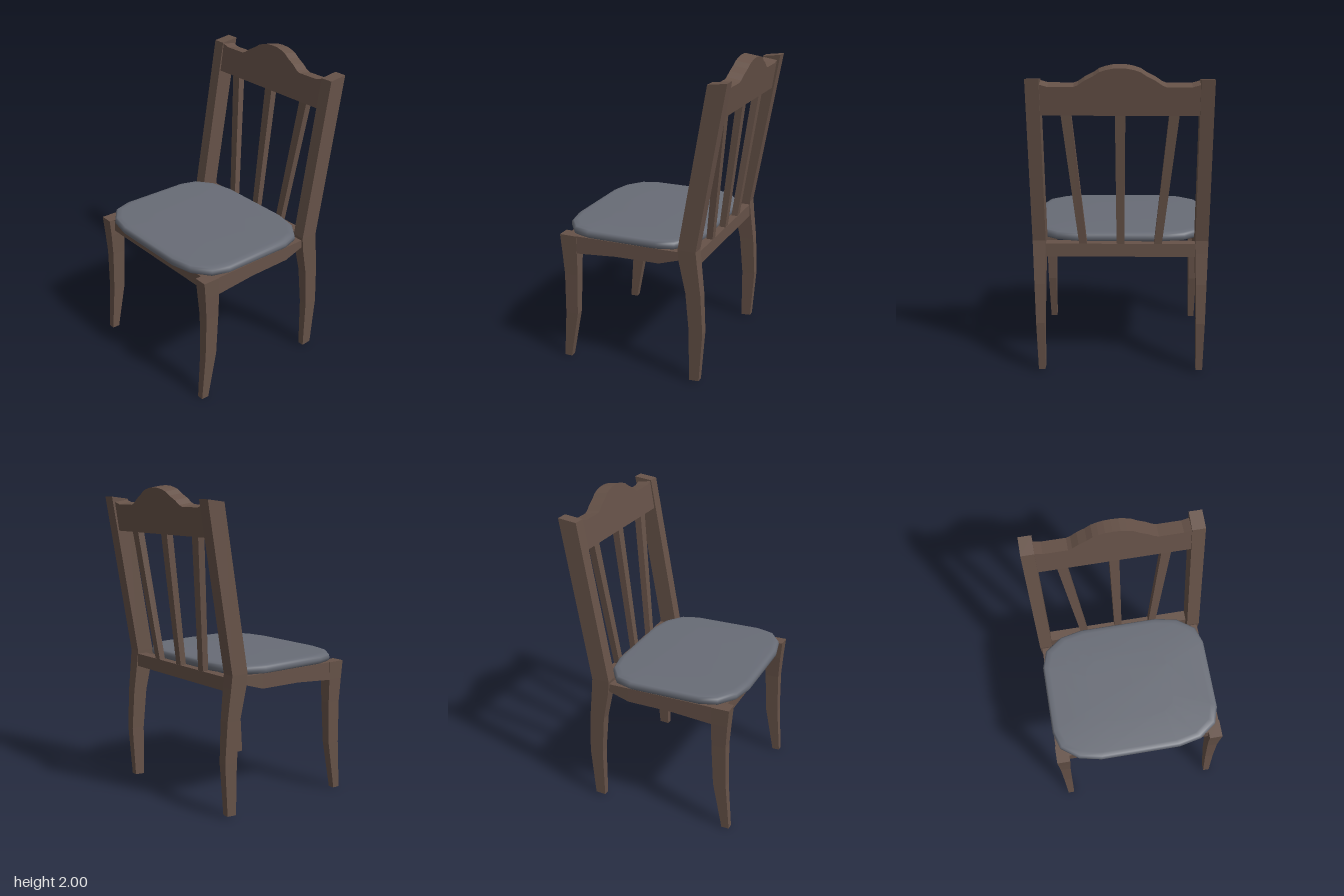
import * as THREE from 'three';

const wood = new THREE.MeshStandardMaterial({ color: 0x665248, flatShading: true });
const fabric = new THREE.MeshStandardMaterial({ color: 0x686c76 });

// Joins convex rings (counterclockwise seen from above, listed bottom to top) into a closed solid.
function loft(rings) {
  const n = rings[0].length, index = [];
  for (let r = 0; r < rings.length - 1; r++) {
    for (let j = 0; j < n; j++) {
      const a = r * n + j, b = r * n + (j + 1) % n;
      index.push(a, b, b + n, a, b + n, a + n);
    }
  }
  const top = (rings.length - 1) * n;
  for (let j = 1; j < n - 1; j++) {
    index.push(0, j + 1, j, top, top + j, top + j + 1);
  }
  const geo = new THREE.BufferGeometry();
  geo.setAttribute('position', new THREE.Float32BufferAttribute(rings.flat(2), 3));
  geo.setIndex(index);
  geo.computeVertexNormals();
  return geo;
}

// Rectangular ring; the back edge may sit at its own height.
function rect(x0, x1, zFront, zBack, y, yBack = y) {
  const [a, b] = x0 < x1 ? [x0, x1] : [x1, x0];
  return [[a, y, zFront], [b, y, zFront], [b, yBack, zBack], [a, yBack, zBack]];
}

export function createModel() {
  const chair = new THREE.Group();
  chair.name = 'chair';
  const add = (name, geo, mat = wood) => {
    const mesh = new THREE.Mesh(geo, mat);
    mesh.name = name;
    chair.add(mesh);
    return mesh;
  };

  // Sections: inner x, outer x, front z, back z, y, back y
  const frontLeg = [
    [0.488, 0.53, 0.55, 0.5, 0],
    [0.482, 0.537, 0.525, 0.44, 0.32],
    [0.475, 0.542, 0.52, 0.427, 0.6],
    [0.467, 0.547, 0.53, 0.425, 0.755],
    [0.465, 0.55, 0.54, 0.425, 0.87],
  ];
  const backPost = [
    [0.488, 0.53, -0.342, -0.408, 0.01, 0.015],
    [0.482, 0.537, -0.342, -0.432, 0.35],
    [0.475, 0.542, -0.32, -0.418, 0.61],
    [0.468, 0.547, -0.278, -0.395, 0.81],
    [0.467, 0.549, -0.27, -0.387, 0.89],
    [0.467, 0.549, -0.447, -0.566, 1.91, 1.925],
  ];
  // Side rail sections run back to front: z, bottom y, inner x, outer x
  const sideRail = [
    [-0.3, 0.825, 0.47, 0.535], [-0.14, 0.776, 0.47, 0.538],
    [0.15, 0.774, 0.47, 0.542], [0.44, 0.752, 0.47, 0.546],
  ];

  for (const [side, s] of [['left', 1], ['right', -1]]) {
    const mirror = ([xi, xo, ...rest]) => rect(s * xi, s * xo, ...rest);
    add(side + 'FrontLeg', loft(frontLeg.map(mirror)));
    add(side + 'BackPost', loft(backPost.map(mirror)));
    add(side + 'SideRail', loft(sideRail.map(([z, y, xi, xo]) => {
      const a = Math.min(s * xi, s * xo), b = Math.max(s * xi, s * xo);
      return [[a, y, z], [b, y, z], [b, 0.87, z], [a, 0.87, z]];
    })));
  }

  // Front and back seat rails
  for (const [name, z0, z1] of [['frontRail', 0.43, 0.5], ['backRail', -0.387, -0.32]]) {
    const rail = add(name, new THREE.BoxGeometry(0.95, 0.085, z1 - z0));
    rail.position.set(0, 0.8275, (z0 + z1) / 2);
  }

  // Back slats, fanning outwards and widening towards the top
  for (const [name, xBottom, xTop] of [
    ['rightSlat', -0.232, -0.325], ['centreSlat', 0, 0], ['leftSlat', 0.232, 0.325],
  ]) {
    add(name, loft([
      rect(xBottom - 0.024, xBottom + 0.024, -0.342, -0.383, 0.85),
      rect(xTop - 0.031, xTop + 0.031, -0.446, -0.492, 1.75),
    ]));
  }

  // Crest rail with a raised centre, leaning back with the posts
  const half = [
    [0.475, 0.19], [0.42, 0.174], [0.27, 0.174], [0.245, 0.184], [0.205, 0.212],
    [0.155, 0.238], [0.12, 0.262], [0.085, 0.274], [0.045, 0.283],
  ];
  const outline = [[-0.475, 0], [0.475, 0], ...half, [0, 0.285],
    ...half.map(([x, y]) => [-x, y]).reverse()];
  const crest = new THREE.ExtrudeGeometry(
    new THREE.Shape(outline.map(p => new THREE.Vector2(...p))),
    { depth: 0.092, bevelEnabled: false });
  crest.translate(0, 0, -0.092);
  const crestRail = add('crestRail', crest);
  crestRail.position.set(0, 1.718, -0.425);
  crestRail.rotation.x = -0.15;

  // Seat cushion: rounded outline stacked in scaled rings
  const corner = [[0.55, 0.232], [0.515, 0.343], [0.405, 0.424], [0.26, 0.455]];
  const rev = [...corner].reverse();
  const loop = [
    ...corner.map(([x, z]) => [x, -z]), ...rev.map(([x, z]) => [-x, -z]),
    ...corner.map(([x, z]) => [-x, z]), ...rev.map(([x, z]) => [x, z]),
  ];
  const layers = [
    [0.9, 0.868], [0.975, 0.869], [0.995, 0.878], [1, 0.895],
    [0.995, 0.912], [0.975, 0.921], [0.92, 0.926], [0.5, 0.929],
  ];
  add('seatCushion', loft(layers.map(([k, y]) =>
    loop.map(([x, z]) => [x * k, y, 0.11 + z * k]))), fabric);

  return chair;
}
